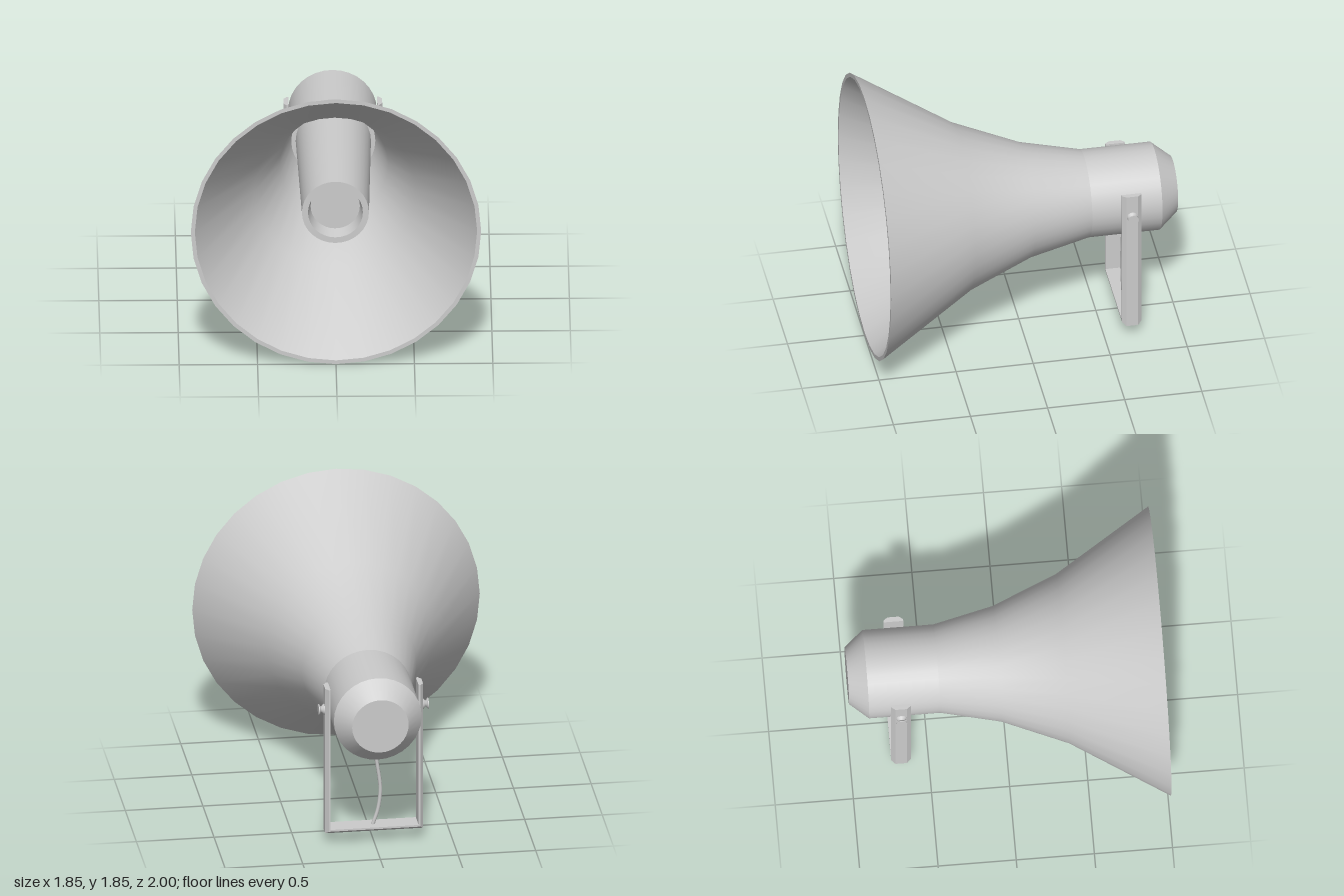
import * as THREE from 'three';

const AXIS_Y = 0.933;   // height of the horn axis
const SIDES = 32;
const BRACKET_Z = -0.678;

const grey = new THREE.MeshStandardMaterial({ color: 0xcccccc, side: THREE.DoubleSide });
const greyFlat = new THREE.MeshStandardMaterial({ color: 0xcccccc, side: THREE.DoubleSide, flatShading: true });

// Each strip is a list of [radius, z]; separate strips keep a sharp edge between them.
function turned(name, strips, sides = SIDES) {
  const group = new THREE.Group();
  group.name = name;
  strips.forEach((strip, i) => {
    const geo = new THREE.LatheGeometry(strip.map(([r, z]) => new THREE.Vector2(r, z)), sides);
    geo.rotateX(Math.PI / 2);
    const mesh = new THREE.Mesh(geo, grey);
    mesh.name = `${name}Surface${i + 1}`;
    group.add(mesh);
  });
  return group;
}

// U-shaped strap: a chamfered section swept along mitred corners
function bracketGeometry() {
  const section = [[0, -0.063], [0.012, -0.063], [0.032, -0.037], [0.032, 0.037], [0.012, 0.063], [0, 0.063]];
  const path = [ // inner x, inner y, outward x, outward y
    [0.283, 1.09, 1, 0], [0.283, 0.117, 1, -1], [-0.283, 0.117, -1, -1], [-0.283, 1.09, -1, 0],
  ];
  const n = section.length;
  const pos = [], index = [];
  for (const [x, y, dx, dy] of path)
    for (const [o, z] of section) pos.push(x + dx * o, y + dy * o, z);
  for (let i = 0; i < path.length - 1; i++)
    for (let j = 0; j < n; j++) {
      const a = i * n + j, b = i * n + (j + 1) % n;
      index.push(a, b, b + n, a, b + n, a + n);
    }
  const last = (path.length - 1) * n;
  for (let j = 1; j < n - 1; j++) {
    index.push(0, j + 1, j);
    index.push(last, last + j, last + j + 1);
  }
  const geo = new THREE.BufferGeometry();
  geo.setAttribute('position', new THREE.Float32BufferAttribute(pos, 3));
  geo.setIndex(index);
  const flat = geo.toNonIndexed();
  flat.computeVertexNormals();
  return flat;
}

export function createModel() {
  const model = new THREE.Group();
  model.name = 'hornLoudspeaker';

  // Parts turned around the horn axis
  const body = new THREE.Group();
  body.name = 'body';
  body.position.y = AXIS_Y;
  model.add(body);

  body.add(turned('hornBell', [
    [[0.283, -0.425], [0.37, -0.04], [0.542, 0.38], [0.926, 1]],   // outside
    [[0.926, 1], [0.9, 1]],                                        // rim
    [[0.9, 1], [0.518, 0.38], [0.347, -0.04], [0.268, -0.41]],     // inside
    [[0.268, -0.41], [0.2, -0.41]],                                // throat floor
  ]));

  body.add(turned('driverHousing', [
    [[0, -1], [0.182, -1]],
    [[0.182, -1], [0.283, -0.88]],
    [[0.283, -0.88], [0.283, -0.425]],
  ]));

  // Inner tube with a shallow recess at its mouth
  body.add(turned('innerTube', [
    [[0.24, -0.41], [0.214, 0.7]],
    [[0.214, 0.7], [0.175, 0.7]],
    [[0.175, 0.7], [0.157, 0.6]],
    [[0.157, 0.6], [0, 0.6]],
  ]));

  // Mounting bracket
  const bracket = new THREE.Mesh(bracketGeometry(), greyFlat);
  bracket.name = 'mountingBracket';
  bracket.position.z = BRACKET_Z;
  model.add(bracket);

  // Pivot knobs, one on each arm
  for (const side of [1, -1]) {
    const knob = turned(side > 0 ? 'leftKnob' : 'rightKnob', [
      [[0.036, 0.312], [0.034, 0.322], [0.02, 0.334], [0.02, 0.34], [0.035, 0.348]],
      [[0.035, 0.348], [0.035, 0.354]],
      [[0.035, 0.354], [0, 0.354]],
    ], 16);
    knob.rotation.y = side * Math.PI / 2;
    knob.position.set(0, AXIS_Y, BRACKET_Z);
    model.add(knob);
  }

  // Cable hanging from the housing to the bracket's crossbar
  const curve = new THREE.CatmullRomCurve3([
    [0, 0.68], [-0.025, 0.53], [-0.045, 0.36], [-0.03, 0.22], [0.005, 0.11],
  ].map(([x, y]) => new THREE.Vector3(x, y, BRACKET_Z)));
  const cable = new THREE.Mesh(new THREE.TubeGeometry(curve, 24, 0.012, 8), grey);
  cable.name = 'cable';
  model.add(cable);

  return model;
}
